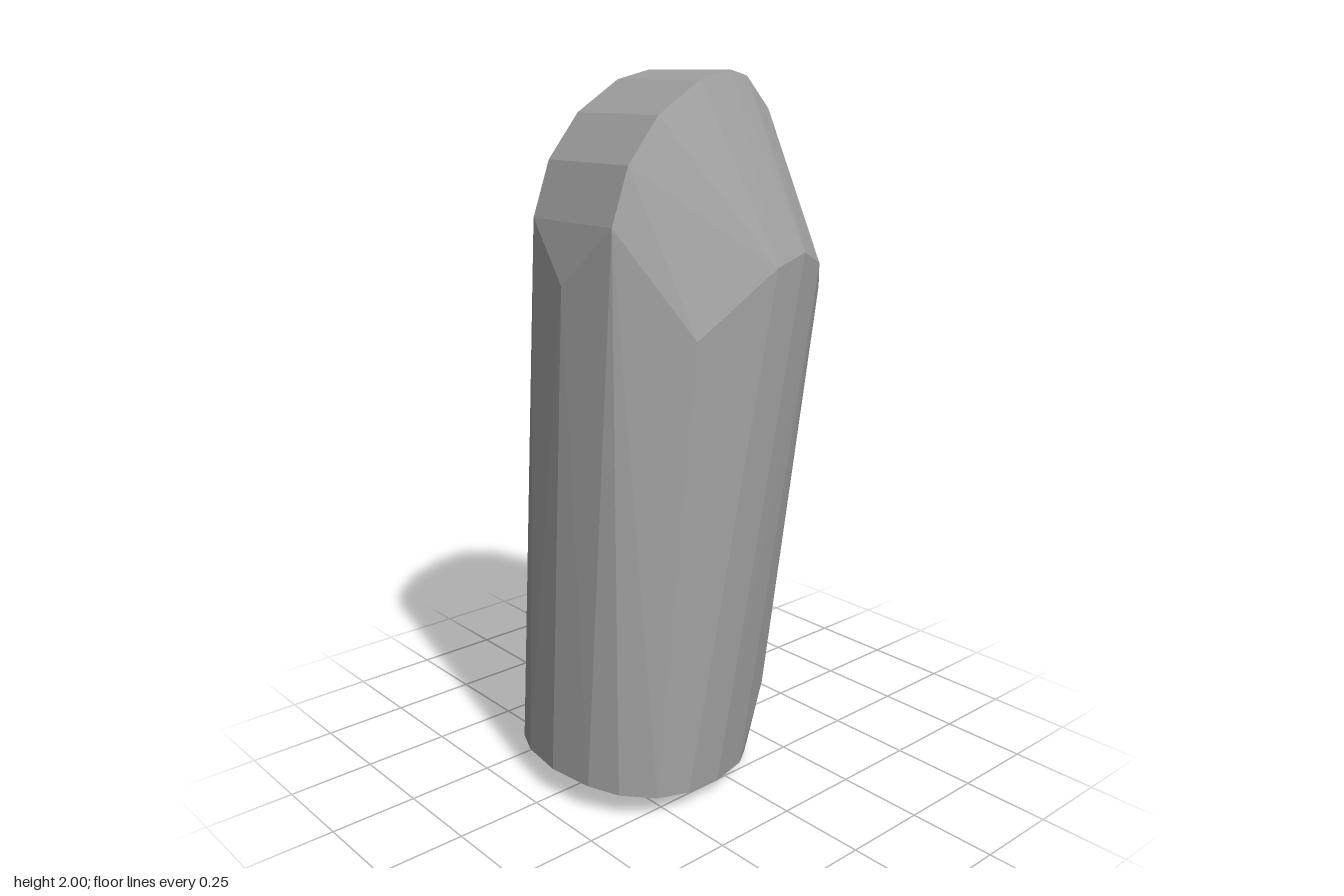
import * as THREE from 'three';
import { ConvexGeometry } from 'three/addons/geometries/ConvexGeometry.js';

// Expands [x, y, z] half-profiles to both sides of the z = 0 plane
function mirrorZ(points) {
  const out = [];
  for (const [x, y, z] of points) {
    out.push(new THREE.Vector3(x, y, z));
    if (z !== 0) out.push(new THREE.Vector3(x, y, -z));
  }
  return out;
}

export function createModel() {
  const grey = new THREE.MeshStandardMaterial({ color: 0xa0a0a0 });
  grey.name = 'grey';

  // Slanted foot: rounded outline [x, z] lying on a tilted plane
  const foot = [
    [-0.44, 0], [-0.42, 0.137], [-0.38, 0.223], [-0.3, 0.292], [-0.2, 0.312],
    [-0.08, 0.3], [0.06, 0.25], [0.13, 0.2], [0.19, 0.12], [0.22, 0],
  ].map(([x, z]) => [x, (0.22 - x) * 0.127, z]);

  // Flare above the foot on the +x side
  const flare = [[0.29, 0.25, 0], [0.27, 0.22, 0.1], [0.2, 0.22, 0.2]];

  // Widest ring, where the body turns into the bevelled top
  const shoulder = [
    [0.437, 1.37, 0.057], [0.405, 1.4, 0.195], [0.285, 1.49, 0.302], [0.19, 1.53, 0.335],
  ];
  const shoulderFront = [[0.08, 1.5, 0.343], [-0.17, 1.33, 0.303]];
  const shoulderBack = [[0.12, 1.52, -0.345], [-0.09, 1.39, -0.33], [-0.21, 1.33, -0.29]];

  // Arched crown: two parallel ridges joined by a curved strip
  const crown = [
    [-0.335, 1.62, 0.165], [-0.28, 1.77, 0.165], [-0.18, 1.89, 0.165], [-0.04, 1.975, 0.165],
    [0.07, 2, 0.165], [0.13, 1.985, 0.165], [0.175, 1.955, 0.14], [0.195, 1.94, 0.085],
    [0.213, 1.9, 0.165], [-0.372, 1.46, 0],
  ];

  const points = [
    ...mirrorZ([...foot, ...flare, ...shoulder, ...crown]),
    ...[...shoulderFront, ...shoulderBack].map((p) => new THREE.Vector3(...p)),
  ];

  // One faceted solid stretched over the sections
  const body = new THREE.Mesh(new ConvexGeometry(points), grey);
  body.name = 'body';

  const group = new THREE.Group();
  group.name = 'facetedBlock';
  group.add(body);
  return group;
}
